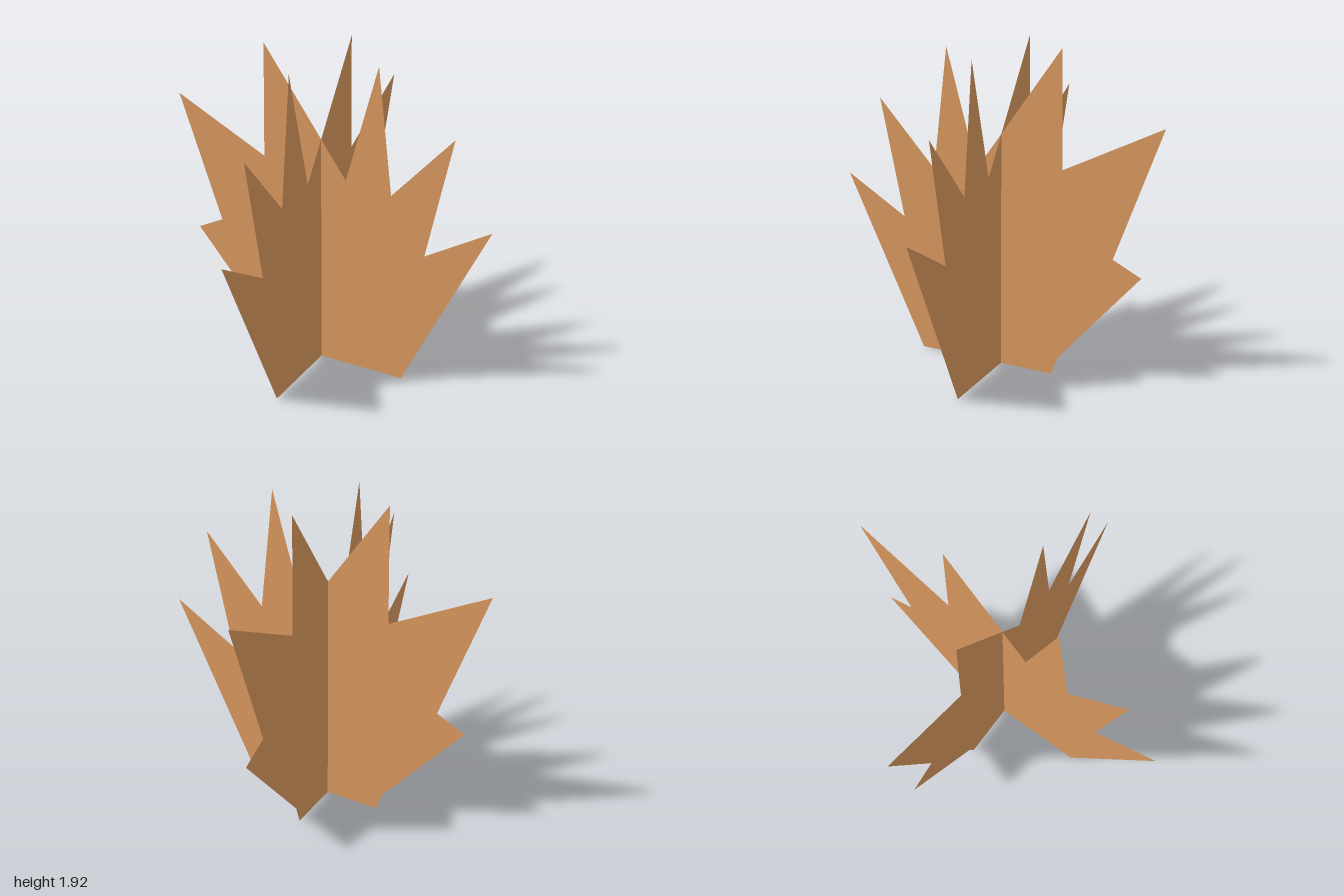
import * as THREE from 'three';

// Jagged leaf outline, counter-clockwise from the lower left
const OUTLINE = [
  [-0.373, 0], [0.495, 0], [1, 1.057], [0.613, 0.83], [0.763, 1.545],
  [0.4, 1.153], [0.31, 1.88], [0.117, 1.19], [-0.405, 1.92], [-0.417, 1.243],
  [-1, 1.537], [-0.73, 0.77], [-0.9, 0.687], [-0.408, 0.11],
];
const CROSSING = -0.04; // where the two sheets meet, in x and in z

export function createModel() {
  const group = new THREE.Group();
  group.name = 'crossedLeafPlant';

  const material = new THREE.MeshStandardMaterial({ color: 0xdc9a60, side: THREE.DoubleSide });
  const outline = new THREE.Shape(OUTLINE.map(([x, y]) => new THREE.Vector2(x, y)));
  const geometry = new THREE.ShapeGeometry(outline);

  // Sheet spanning x
  const wide = new THREE.Mesh(geometry, material);
  wide.name = 'leafSheetAcross';
  wide.position.z = CROSSING;

  // The same sheet turned so its +x side points to +z
  const deep = new THREE.Mesh(geometry, material);
  deep.name = 'leafSheetDeep';
  deep.rotation.y = -Math.PI / 2;
  deep.position.x = CROSSING;

  group.add(wide, deep);
  return group;
}
